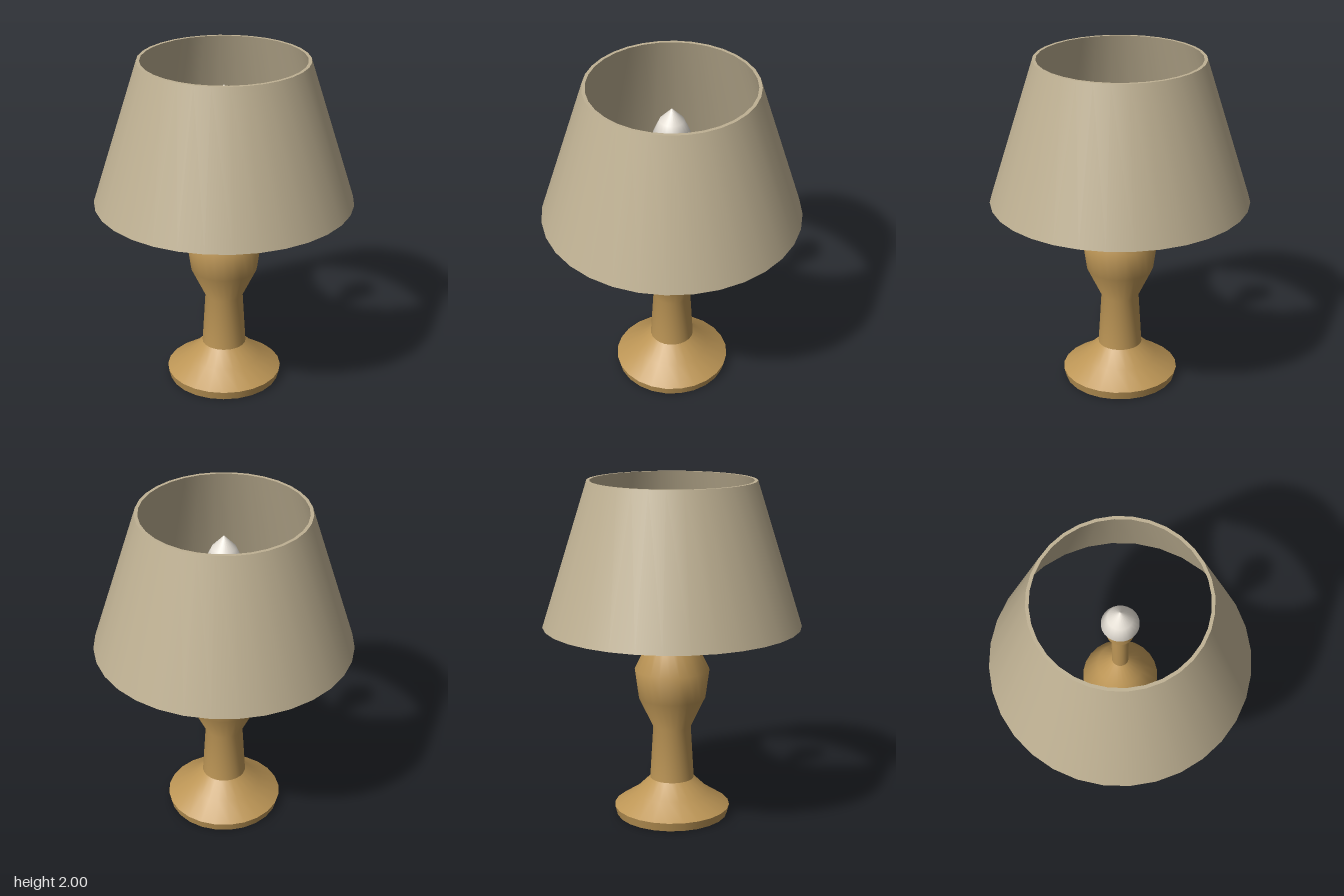
import * as THREE from 'three';

const material = (name, color) => new THREE.MeshStandardMaterial({ name, color });

// Turns each profile run (bottom to top on the outside) about the y axis.
// Runs are smooth within themselves and meet at sharp edges.
function turned(name, mat, sides, runs) {
  const group = new THREE.Group();
  group.name = name;
  runs.forEach((run, i) => {
    const points = run.map(([r, y]) => new THREE.Vector2(r, y));
    const mesh = new THREE.Mesh(new THREE.LatheGeometry(points, sides), mat);
    mesh.name = `${name}${i + 1}`;
    group.add(mesh);
  });
  return group;
}

export function createModel() {
  const wood = material('golden wood', 0xbd9656);
  const fabric = material('beige fabric', 0xbfb193);
  const glass = material('white glass', 0xe6e0d6);

  const model = new THREE.Group();
  model.name = 'tableLamp';

  // Foot: flat underside, short rim, sloping top
  model.add(turned('foot', wood, 24, [
    [[0, 0], [0.332, 0]],
    [[0.332, 0], [0.345, 0.052]],
    [[0.345, 0.052], [0.22, 0.135], [0.131, 0.222]],
  ]));

  // Waisted column swelling into a pear-shaped body
  model.add(turned('body', wood, 24, [
    [[0.131, 0.222], [0.112, 0.54], [0.198, 0.72], [0.221, 0.89], [0.132, 1.07], [0.048, 1.17]],
  ]));

  // Thin rod and the socket that holds the bulb
  model.add(turned('rod', wood, 24, [[[0.048, 1.17], [0.048, 1.51]]]));
  model.add(turned('socket', wood, 24, [
    [[0.048, 1.51], [0.078, 1.58]],
    [[0.078, 1.58], [0.078, 1.63]],
    [[0.078, 1.63], [0, 1.63]],
  ]));

  // Bulb
  model.add(turned('bulb', glass, 24, [
    [[0.06, 1.62], [0.105, 1.7], [0.07, 1.78], [0, 1.855]],
  ]));

  // Open tapered shade with a wall thickness
  model.add(turned('shade', fabric, 32, [
    [[0.755, 1.16], [0.489, 2]],
    [[0.489, 2], [0.47, 2]],
    [[0.47, 2], [0.736, 1.16]],
    [[0.736, 1.16], [0.755, 1.16]],
  ]));

  return model;
}
